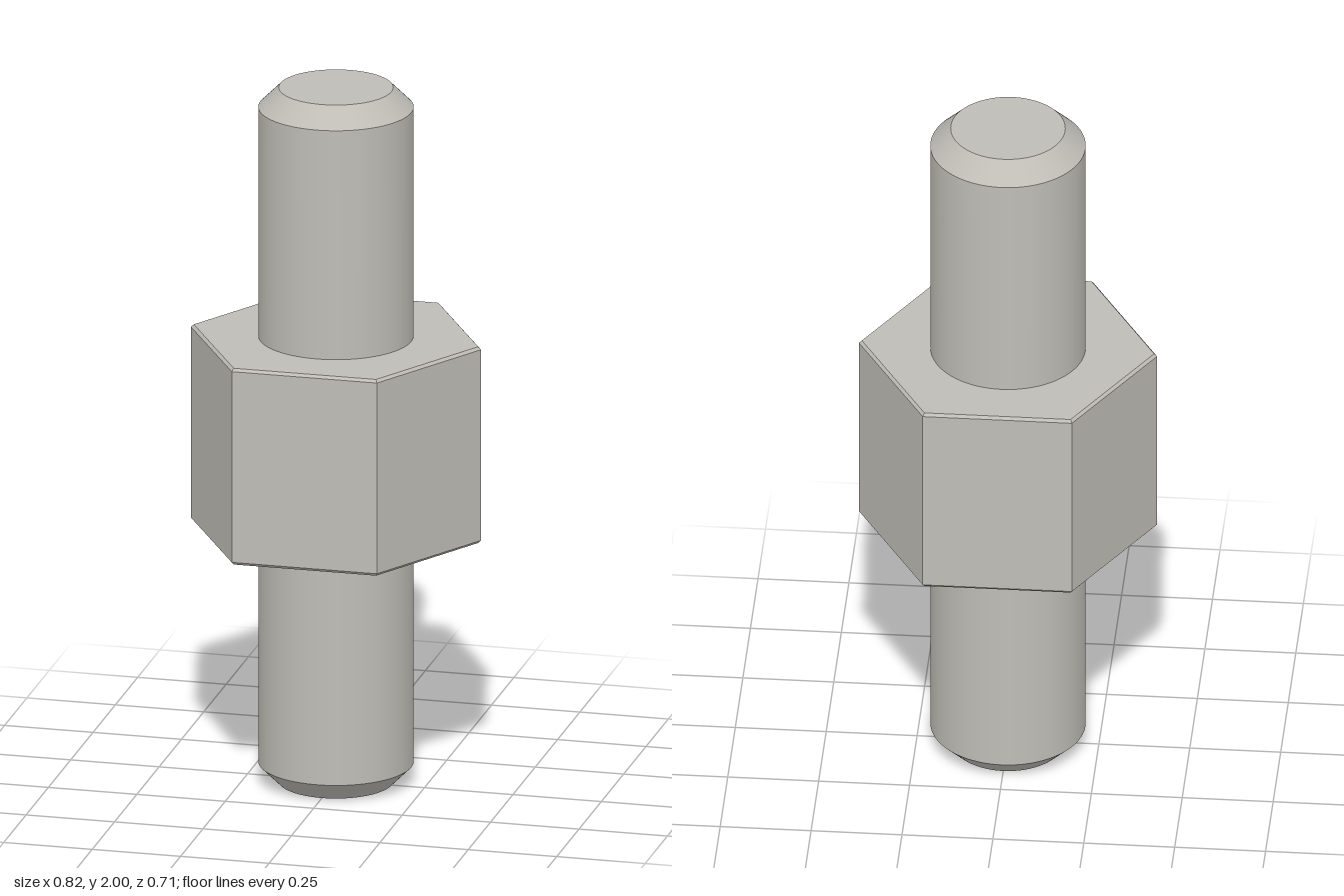
import * as THREE from 'three';
import { toCreasedNormals } from 'three/addons/utils/BufferGeometryUtils.js';

// Solid of revolution with sharp edges; profile is [radius, height] from bottom to top
function turned(name, profile, sides, material, crease) {
  const points = profile.map(([r, y]) => new THREE.Vector2(r, y));
  const geometry = new THREE.LatheGeometry(points, sides, Math.PI / 6);
  const mesh = new THREE.Mesh(toCreasedNormals(geometry, crease), material);
  mesh.name = name;
  return mesh;
}

export function createModel() {
  const steel = new THREE.MeshStandardMaterial({ color: 0xbfbdb6 });
  steel.name = 'steel';

  const group = new THREE.Group();
  group.name = 'hexStandoff';

  // Round rod with a chamfer at both ends
  const R = 0.213, tip = 0.157, c = 0.056;
  group.add(turned('rod', [[0, 0], [tip, 0], [R, c], [R, 2 - c], [tip, 2], [0, 2]], 96, steel, 0.5));

  // Hexagonal collar with finely broken edges, starting inside the rod
  const H = 0.41, b = 0.008, y0 = 0.718, y1 = 1.284, inner = 0.15;
  group.add(turned('hexCollar', [
    [inner, y0], [H - b, y0], [H, y0 + b], [H, y1 - b], [H - b, y1], [inner, y1],
  ], 6, steel, 0.1));

  return group;
}
